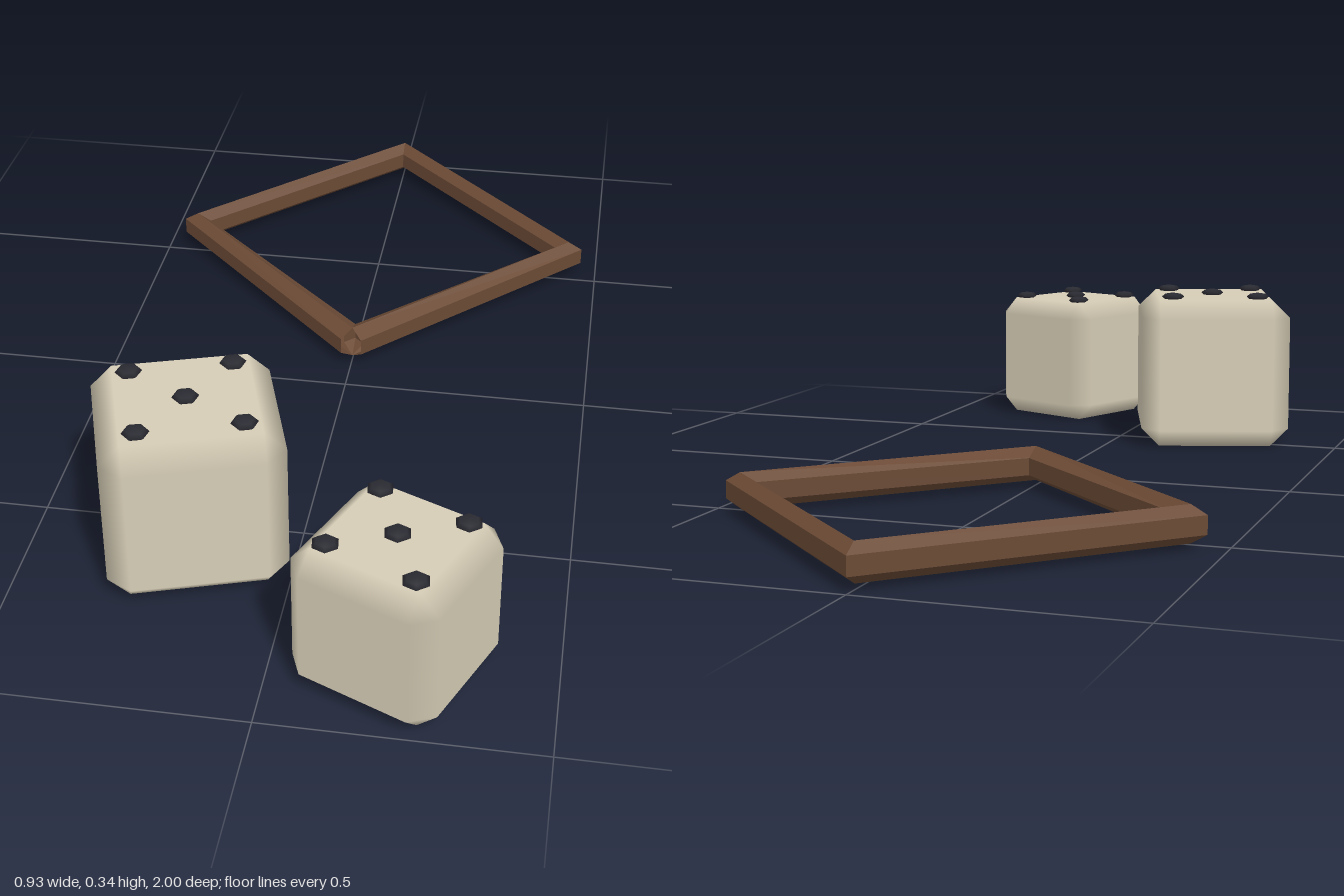
import * as THREE from 'three';
import { ConvexGeometry } from 'three/addons/geometries/ConvexGeometry.js';

const ivory = new THREE.MeshStandardMaterial({ color: 0xd6cdb6 });
const black = new THREE.MeshStandardMaterial({ color: 0x2a2a32 });
const wood = new THREE.MeshStandardMaterial({ color: 0x6b4a35, flatShading: true, side: THREE.DoubleSide });

// Cube with one chamfer on every edge; normals follow the main faces so the chamfers shade softly
function chamferedCube(size, bevel) {
  const h = size / 2, c = h - bevel;
  const points = [];
  for (const x of [-1, 1]) for (const y of [-1, 1]) for (const z of [-1, 1]) {
    points.push(
      new THREE.Vector3(x * h, y * c, z * c),
      new THREE.Vector3(x * c, y * h, z * c),
      new THREE.Vector3(x * c, y * c, z * h));
  }
  const geometry = new ConvexGeometry(points);
  const p = geometry.attributes.position, n = geometry.attributes.normal;
  const snap = (v) => (Math.abs(v) > h - bevel / 2 ? Math.sign(v) : 0);
  for (let i = 0; i < p.count; i++) n.setXYZ(i, snap(p.getX(i)), snap(p.getY(i)), snap(p.getZ(i)));
  return geometry;
}

// Die showing five pips on top
function makeDie(name, size, bevel, pipOffset, pipRadius) {
  const die = new THREE.Group();
  die.name = name;
  const body = new THREE.Mesh(chamferedCube(size, bevel), ivory);
  body.name = 'dieBody';
  body.position.y = size / 2;
  die.add(body);

  const pipGeometry = new THREE.SphereGeometry(pipRadius, 6, 4);
  pipGeometry.scale(1, 0.36, 1);
  for (const [x, z] of [[0, 0], [-1, -1], [1, -1], [-1, 1], [1, 1]]) {
    const pip = new THREE.Mesh(pipGeometry, black);
    pip.name = 'pip';
    pip.position.set(x * pipOffset, size + 0.005, z * pipOffset);
    die.add(pip);
  }
  return die;
}

// Diamond frame: a six-sided bar running round four corners, its ends meeting at the front
function makeFrame() {
  const r = 0.435;
  const corners = [[0, r], [r, 0], [0, -r], [-r, 0], [0, r]].map(([x, z]) => new THREE.Vector3(x, 0, z));
  const path = new THREE.CurvePath();
  for (let i = 0; i < 4; i++) path.add(new THREE.LineCurve3(corners[i], corners[i + 1]));
  const frame = new THREE.Mesh(new THREE.TubeGeometry(path, 4, 0.035, 6, false), wood);
  frame.name = 'diamondFrame';
  frame.position.set(0, 0.045, -0.532);
  return frame;
}

export function createModel() {
  const model = new THREE.Group();
  model.name = 'diceAndFrame';

  const largeDie = makeDie('largeDie', 0.33, 0.04, 0.095, 0.025);
  largeDie.position.set(-0.199, 0, 0.561);
  largeDie.rotation.y = 0.315;

  const smallDie = makeDie('smallDie', 0.285, 0.038, 0.086, 0.025);
  smallDie.position.set(0.217, 0, 0.826);
  smallDie.rotation.y = -0.41;

  model.add(largeDie, smallDie, makeFrame());
  return model;
}
